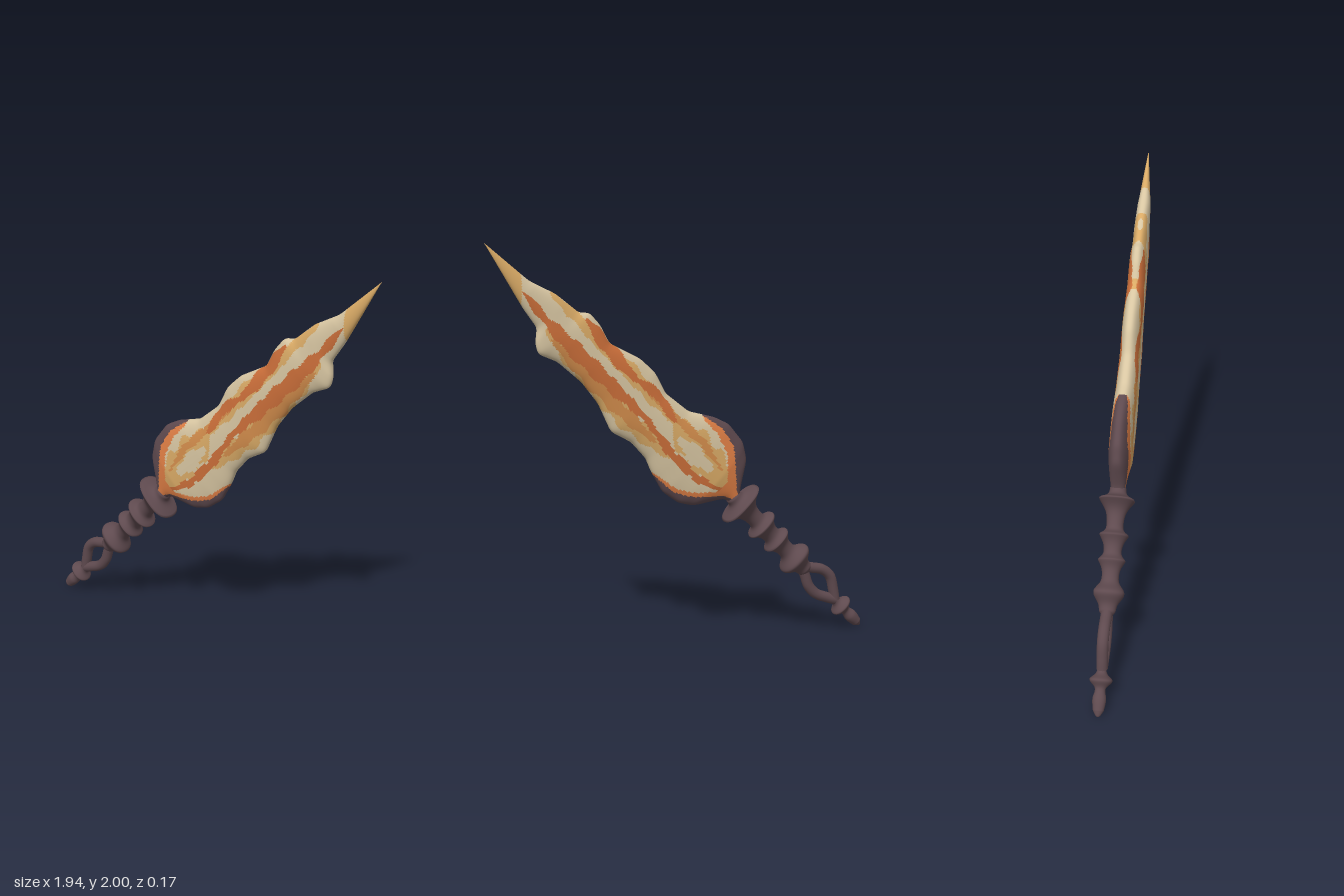
import * as THREE from 'three';

const paint = (name, color) => {
  const m = new THREE.MeshStandardMaterial({ color });
  m.name = name;
  return m;
};
const COLORS = {
  wood: paint('dark plum wood', 0x5f4a4f),
  cream: paint('cream', 0xd8c6a2),
  gold: paint('gold', 0xd9aa66),
  amber: paint('amber', 0xd38d4c),
  orange: paint('burnt orange', 0xcc6f3a),
  ember: paint('ember orange', 0xe07f45),
};

// Linear lookup in [along, value] points sorted along the axis
function look(points, t) {
  const i = points.findIndex(p => p[0] >= t);
  if (i < 0) return points[points.length - 1][1];
  if (i === 0) return points[0][1];
  const [a, b] = [points[i - 1], points[i]];
  return THREE.MathUtils.mapLinear(t, a[0], b[0], a[1], b[1]);
}
// Same lookup with the corners rounded off
const soft = (points, t, d = 0.016) =>
  (look(points, t - d) + 2 * look(points, t) + look(points, t + d)) / 4;

// Blade outline on each side: [along the axis, sideways]
const LEFT = [[1.05, -0.03], [1.09, -0.09], [1.14, -0.173], [1.22, -0.222], [1.34, -0.232],
  [1.42, -0.204], [1.54, -0.133], [1.69, -0.114], [1.8, -0.147], [1.9, -0.141], [2.06, -0.088],
  [2.15, -0.116], [2.23, -0.12], [2.26, -0.086], [2.4, -0.069], [2.53, -0.024], [2.785, 0]];
const RIGHT = [[1.05, 0.03], [1.095, 0.045], [1.19, 0.172], [1.26, 0.214], [1.36, 0.23],
  [1.47, 0.2], [1.54, 0.172], [1.65, 0.166], [1.76, 0.198], [1.9, 0.147], [2.03, 0.131],
  [2.18, 0.143], [2.27, 0.18], [2.32, 0.148], [2.35, 0.1], [2.46, 0.082], [2.785, 0]];
const THICK = [[1.03, 0.03], [1.2, 0.055], [1.45, 0.056], [2.2, 0.044], [2.5, 0.032], [2.785, 0]];

// Inner rim of the cup on each side
const CUP_LEFT = [[1.04, -0.008], [1.09, -0.03], [1.26, -0.17], [1.37, -0.188], [1.48, -0.165]];
const CUP_RIGHT = [[1.04, 0.008], [1.12, 0.04], [1.24, 0.15], [1.33, 0.2], [1.46, 0.204]];

// Tapered streaks, later over earlier: colour, half width, centre line
const STREAKS = [
  ['gold', 0.085, [[1.12, -0.01], [1.35, -0.02], [1.58, -0.04]]],
  ['gold', 0.04, [[1.5, -0.05], [1.9, -0.055], [2.43, -0.055]]],
  ['gold', 0.048, [[1.46, 0.09], [1.77, 0.11], [2.33, 0.08]]],
  ['amber', 0.032, [[1.57, 0.09], [1.8, 0.1], [2.28, 0.095]]],
  ['amber', 0.02, [[1.22, -0.04], [1.4, -0.07], [1.78, -0.05]]],
  ['orange', 0.02, [[1.12, 0.02], [1.3, 0.075], [1.49, 0.075], [1.75, 0.038]]],
  ['orange', 0.034, [[1.65, 0.04], [2.2, 0.055], [2.52, 0.035]]],
  ['orange', 0.024, [[1.56, -0.045], [1.73, -0.076], [1.87, -0.055]]],
  ['orange', 0.032, [[1.84, -0.05], [2.08, -0.064], [2.23, -0.085]]],
  ['cream', 0.04, [[1.26, 0], [1.51, 0]]],
  ['cream', 0.02, [[1.54, 0.015], [1.85, 0.004], [2.2, -0.012]]],
  ['cream', 0.03, [[2.1, -0.012], [2.52, 0.008]]],
];

function colorAt(t, s) {
  // Cup, then the glowing band just inside its rim
  if (t < 1.475) {
    const inLeft = s - look(CUP_LEFT, t), inRight = look(CUP_RIGHT, t) - s;
    if (inLeft < 0 || inRight < 0) return 'wood';
    const band = 0.055 * Math.sqrt((1.475 - t) / 0.25);
    if (t < 1.16 || inLeft < band || inRight < band * 0.5) return 'ember';
  }
  // Golden tip
  if (t > 2.56 - s) return 'gold';
  let color = 'cream';
  STREAKS.forEach(([name, width, line], i) => {
    const start = line[0][0], u = (t - start) / (line[line.length - 1][0] - start);
    if (u <= 0 || u >= 1) return;
    const ragged = 1 + 0.22 * Math.sin(t * 47 + i * 2 + s * 20);
    if (Math.abs(s - look(line, t)) < width * ragged * Math.sqrt(Math.sin(u * Math.PI))) color = name;
  });
  return color;
}

// Blade and cup share one lofted surface, split into one mesh per colour
function buildBlade() {
  const ROWS = 220, SEG = 112, T0 = 1.03, T1 = 2.785;
  const along = i => T0 + (T1 - T0) * i / ROWS;
  const pos = [], all = [], faces = {};
  for (let i = 0; i <= ROWS; i++) {
    const t = along(i), l = soft(LEFT, t), r = soft(RIGHT, t), h = look(THICK, t);
    for (let j = 0; j < SEG; j++) {
      const a = j / SEG * Math.PI * 2, sn = Math.sin(a);
      pos.push((l + r) / 2 + (r - l) / 2 * Math.cos(a), t, h * Math.sign(sn) * Math.abs(sn) ** 0.85);
    }
  }
  for (let i = 0; i < ROWS; i++) for (let j = 0; j < SEG; j++) {
    const k = (j + 1) % SEG, a = i * SEG + j, b = i * SEG + k, c = a + SEG, d = b + SEG;
    const s = (pos[a * 3] + pos[b * 3] + pos[c * 3] + pos[d * 3]) / 4;
    const quad = [a, c, b, b, c, d];
    (faces[colorAt(along(i + 0.5), s)] ??= []).push(...quad);
    all.push(...quad);
  }
  const whole = new THREE.BufferGeometry();
  whole.setAttribute('position', new THREE.Float32BufferAttribute(pos, 3));
  whole.setIndex(all);
  whole.computeVertexNormals();
  const blade = new THREE.Group();
  blade.name = 'flameBlade';
  for (const [name, index] of Object.entries(faces)) {
    const geo = new THREE.BufferGeometry();
    geo.setAttribute('position', whole.attributes.position);
    geo.setAttribute('normal', whole.attributes.normal);
    geo.setIndex(index);
    const mesh = new THREE.Mesh(geo, COLORS[name]);
    mesh.name = name === 'wood' ? 'cup' : name + 'Flame';
    blade.add(mesh);
  }
  return blade;
}

// Turned piece from a radius rule, pressed a little flat where it is widest
function turned(name, from, to, radius) {
  const STEPS = 110, profile = [];
  for (let i = 0; i <= STEPS; i++) {
    const t = from + (to - from) * i / STEPS;
    const ends = Math.min(1, (t - from) / 0.03, (to - t) / 0.03);
    profile.push(new THREE.Vector2(radius(t) * Math.sqrt(Math.max(0, ends)), t));
  }
  const geo = new THREE.LatheGeometry(profile, 40);
  const p = geo.attributes.position;
  for (let i = 0; i < p.count; i++) p.setZ(i, 0.1 * Math.tanh(p.getZ(i) / 0.1));
  const mesh = new THREE.Mesh(geo, COLORS.wood);
  mesh.name = name;
  return mesh;
}

// Swelling on a turned piece: gentle below its peak, steeper above
const swell = (t, at, height, below, above, power) =>
  height * Math.exp(-((Math.abs(t - at) / (t < at ? below : above)) ** power));

// Flared collars on the grip: along, height, spread below, spread above, power
const COLLARS = [[0.565, 0.05, 0.04, 0.035, 2], [0.717, 0.036, 0.03, 0.018, 1.4],
  [0.837, 0.045, 0.034, 0.014, 1.3], [1.005, 0.082, 0.038, 0.014, 1.3]];

export function createModel() {
  const model = new THREE.Group();
  model.name = 'flameDagger';
  const tilted = new THREE.Group();
  tilted.name = 'tiltedBody';
  tilted.position.set(-0.97, 0.003, 0);
  tilted.rotation.z = -0.771;
  model.add(tilted);

  tilted.add(buildBlade());
  tilted.add(turned('pommel', 0, 0.27, t =>
    0.022 + swell(t, 0.08, 0.011, 0.05, 0.03, 2) + swell(t, 0.166, 0.037, 0.024, 0.022, 2)));
  tilted.add(turned('grip', 0.45, 1.09, t =>
    COLLARS.reduce((r, c) => r + swell(t, ...c), 0.041)));

  // Split shaft: two bowed arms around an open eye
  for (const [name, peak] of [['leftArm', -0.068], ['rightArm', 0.05]]) {
    const path = new THREE.CatmullRomCurve3(
      [[0, 0.22], [0.45, 0.265], [1, 0.335], [0.93, 0.395], [0.45, 0.45], [0, 0.5]]
        .map(([f, t]) => new THREE.Vector3(f * peak, t, 0)));
    const arm = new THREE.Mesh(new THREE.TubeGeometry(path, 40, 0.027, 14), COLORS.wood);
    arm.name = name;
    tilted.add(arm);
  }
  return model;
}
